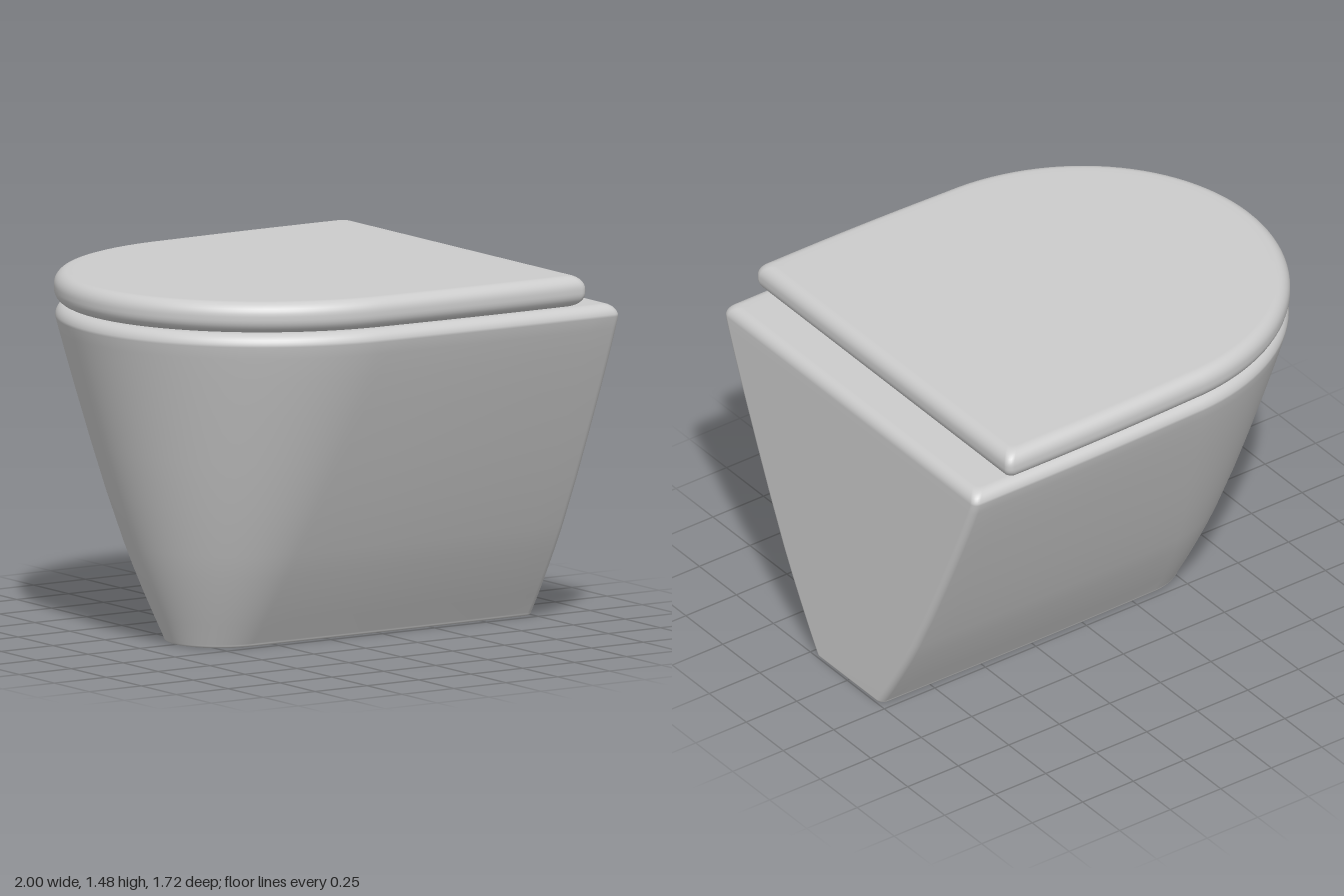
import * as THREE from 'three';

const material = new THREE.MeshStandardMaterial({ color: 0xcccccc, roughness: 0.5 });

// Horizontal D-shaped section: flat end at +x with small corners, elliptical nose at -x
function dRing({ y, nose, mid, end, half, r }) {
  const pts = [];
  const shoulder = half * 0.977;
  for (let i = 0; i <= 6; i++) {
    const a = (i / 6) * Math.PI / 2;
    pts.push([end - r + r * Math.cos(a), half - 0.006 - r + r * Math.sin(a)]);
  }
  const from = end - r;
  for (let i = 1; i < 10; i++) {
    const t = i / 10;
    const swell = 0.006 * Math.sin(Math.PI * t);
    pts.push([from + (mid - from) * t, half - 0.006 + (shoulder - half + 0.006) * t + swell]);
  }
  for (let i = 0; i <= 28; i++) {
    const a = (i / 28) * Math.PI / 2;
    pts.push([mid + (nose - mid) * Math.sin(a), shoulder * Math.cos(a)]);
  }
  const mirrored = pts.slice(0, -1).reverse().map(([x, z]) => [x, -z]);
  return [...pts, ...mirrored].map(([x, z]) => [x, y, z]);
}

// Skin stacked sections and close both ends
function loft(sections) {
  const rings = sections.map(dRing);
  const n = rings[0].length;
  const pos = rings.flat(2);
  const index = [];
  for (let j = 0; j < rings.length - 1; j++) {
    for (let i = 0; i < n; i++) {
      const a = j * n + i, b = j * n + (i + 1) % n;
      index.push(a, a + n, b, b, a + n, b + n);
    }
  }
  const last = (rings.length - 1) * n;
  const bottom = rings.length * n, top = bottom + 1;
  const first = sections[0], final = sections[sections.length - 1];
  pos.push((first.nose + first.end) / 2, first.y, 0, (final.nose + final.end) / 2, final.y, 0);
  for (let i = 0; i < n; i++) {
    const k = (i + 1) % n;
    index.push(bottom, i, k, top, last + k, last + i);
  }
  const geo = new THREE.BufferGeometry();
  geo.setAttribute('position', new THREE.Float32BufferAttribute(pos, 3));
  geo.setIndex(index);
  geo.computeVertexNormals();
  return geo;
}

// Copy of a section moved inwards and set at another height
const inset = (s, d, y) => ({ ...s, y, nose: s.nose + d, end: s.end - d, half: s.half - d });

// Quarter-round rim: from the section up (dir 1) or down (dir -1)
function rim(s, radius, dir, steps = 8) {
  const out = [];
  for (let i = 1; i <= steps; i++) {
    const a = (i / steps) * Math.PI / 2;
    out.push(inset(s, radius * (1 - Math.cos(a)), s.y + dir * radius * Math.sin(a)));
  }
  out.push(inset(s, radius + 0.02, s.y + dir * radius));
  return out;
}

function createModel() {
  const group = new THREE.Group();
  const add = (name, sections) => {
    const mesh = new THREE.Mesh(loft(sections), material);
    mesh.name = name;
    group.add(mesh);
  };

  // Bowl: height, nose x and half width, flaring upwards
  const flare = [
    [0.015, -0.592, 0.23], [0.1, -0.627, 0.285], [0.2, -0.668, 0.345], [0.3, -0.706, 0.403],
    [0.4, -0.741, 0.457], [0.6, -0.805, 0.555], [0.8, -0.862, 0.647], [1.0, -0.916, 0.736],
    [1.15, -0.956, 0.8], [1.25, -0.982, 0.84], [1.3, -0.995, 0.858],
  ];
  const walls = flare.map(([y, nose, half]) => ({
    y, nose, half, end: 0.998 - 0.004 * y, mid: -0.36 + 0.2 * y, r: 0.03,
  }));
  add('bowl', [
    ...rim(walls[0], 0.015, -1, 4).reverse(), ...walls, ...rim(walls[walls.length - 1], 0.05, 1),
  ]);

  // Lid: rounded slab over the bowl, stopping short of the flat end
  const lower = { y: 1.41, nose: -1, half: 0.864, end: 0.83, mid: -0.1, r: 0.03 };
  const upper = { ...lower, y: 1.425 };
  add('lid', [...rim(lower, 0.055, -1).reverse(), lower, upper, ...rim(upper, 0.055, 1)]);

  return group;
}

export { createModel };
